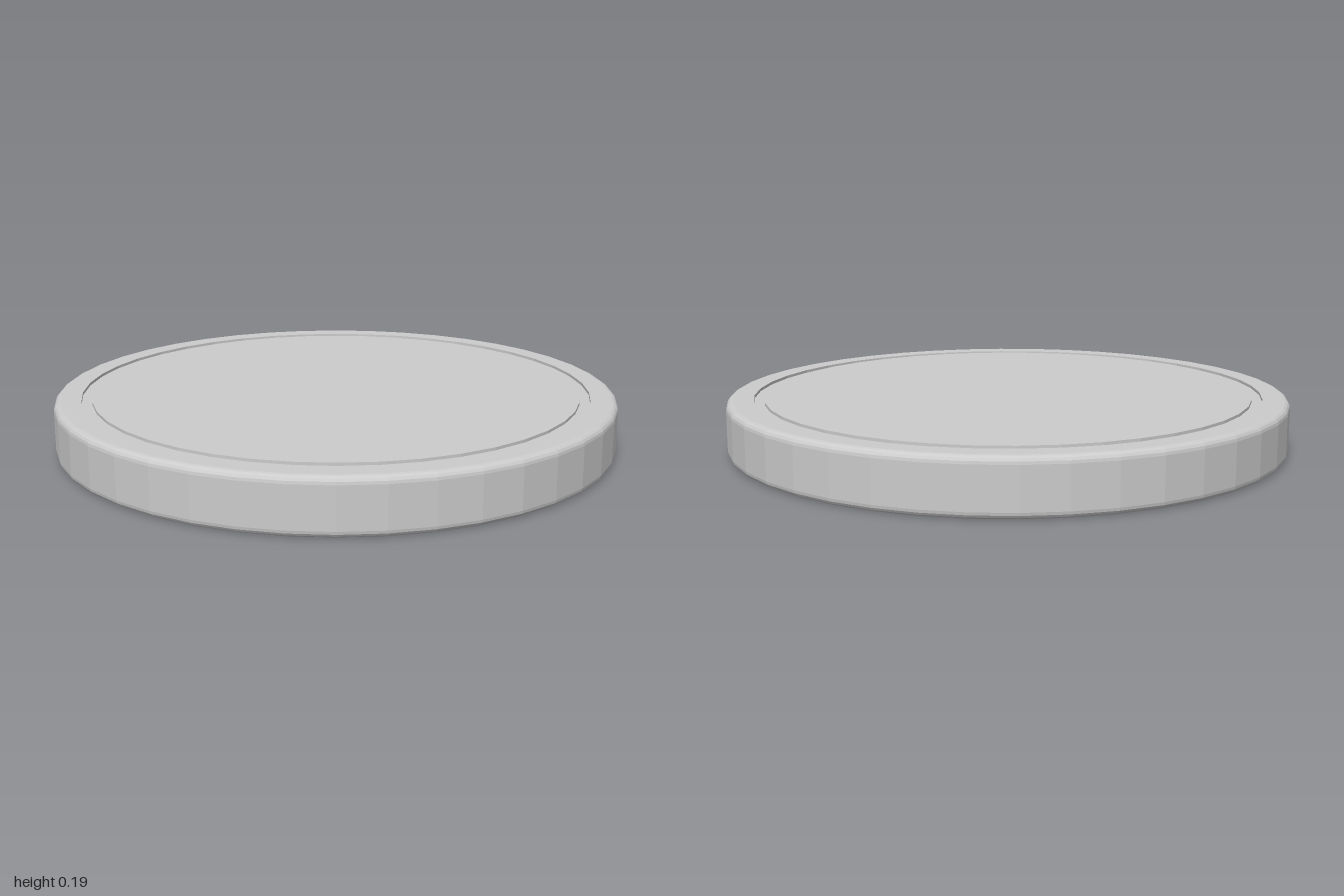
import * as THREE from 'three';

const RADIUS = 1, HEIGHT = 0.192, BEVEL = 0.025, SIDES = 42;
const GROOVE_IN = 0.868, GROOVE_OUT = 0.905, GROOVE_DEPTH = 0.01;

export function createModel() {
  const group = new THREE.Group();
  group.name = 'disc';

  // Lower half of the profile: centre, ring groove, flat border
  const lower = [
    [0, 0],
    [GROOVE_IN, 0],
    [GROOVE_IN, GROOVE_DEPTH],
    [GROOVE_OUT, GROOVE_DEPTH],
    [GROOVE_OUT, 0],
  ].map(([x, y]) => new THREE.Vector2(x, y));

  // Rounded rim edge
  const steps = 4;
  for (let i = 0; i <= steps; i++) {
    const a = (i / steps) * Math.PI / 2;
    lower.push(new THREE.Vector2(
      RADIUS - BEVEL + BEVEL * Math.sin(a),
      BEVEL - BEVEL * Math.cos(a)));
  }

  // Both faces are alike, so the upper half mirrors the lower
  const upper = lower.map(p => new THREE.Vector2(p.x, HEIGHT - p.y)).reverse();

  const body = new THREE.Mesh(
    new THREE.LatheGeometry([...lower, ...upper], SIDES),
    new THREE.MeshStandardMaterial({ color: 0xcccccc, flatShading: true }));
  body.name = 'groovedDisc';
  group.add(body);
  return group;
}
